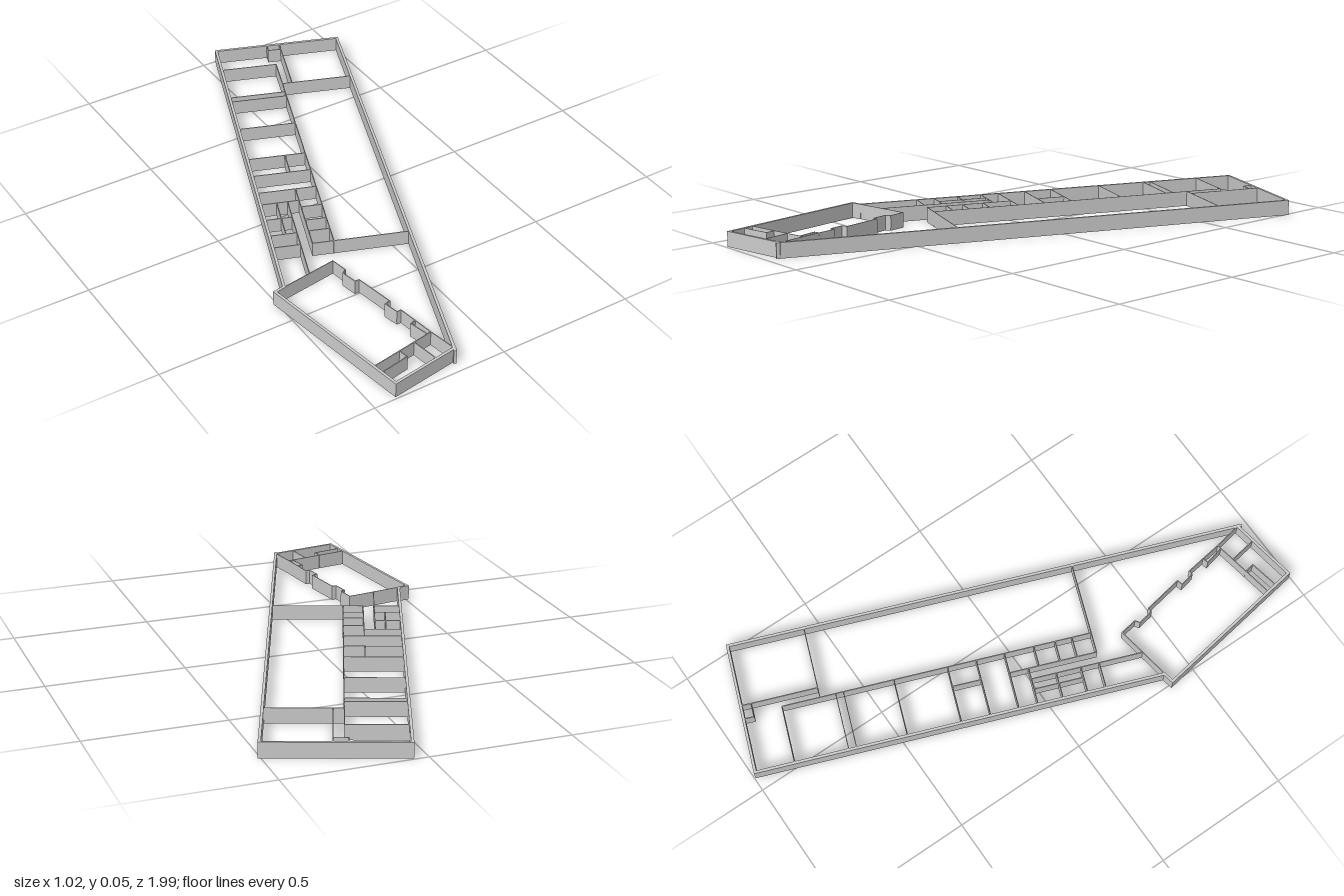
import * as THREE from 'three';

const HEIGHT = 0.055, OUTER = 0.01, INNER = 0.003;
const material = new THREE.MeshStandardMaterial({ color: 0xcccccc, flatShading: true });

// Upright wall between two plan points [x, z]
function wall(parent, name, a, b, thickness) {
  const dx = b[0] - a[0], dz = b[1] - a[1];
  const geometry = new THREE.BoxGeometry(Math.hypot(dx, dz) + thickness, HEIGHT, thickness);
  const mesh = new THREE.Mesh(geometry, material);
  mesh.name = name;
  mesh.position.set((a[0] + b[0]) / 2, HEIGHT / 2, (a[1] + b[1]) / 2);
  mesh.rotation.y = -Math.atan2(dz, dx);
  parent.add(mesh);
}

// Chain of walls through a list of plan points
function wallRun(parent, name, points, thickness = INNER) {
  for (let i = 1; i < points.length; i++) wall(parent, name, points[i - 1], points[i], thickness);
}

export function createModel() {
  const model = new THREE.Group();
  model.name = 'floorPlanWalls';

  // Long wing, laid out straight and then turned: x across, z along
  const wing = new THREE.Group();
  wing.name = 'longWing';
  wing.position.set(0.053, 0, -0.99);
  wing.rotation.y = -0.36;
  model.add(wing);
  const W = 0.481, CORRIDOR = 0.213;
  wallRun(wing, 'wingOuterWall', [[0, 1.475], [0, 0], [W, 0], [W, 1.9]], OUTER);

  // Walls along the wing: [x, start z, end z]
  for (const [x, z0, z1] of [
    [CORRIDOR, 0.14, 1.268], [0.25, 0, 0.277], [0.138, 0.742, 0.845],
    [0.138, 0.948, 1.264], [0.097, 1.017, 1.424], [0.058, 1.017, 1.195],
  ]) wall(wing, 'lengthwiseWall', [x, z0], [x, z1], INNER);

  // Walls across the wing: [z, start x, end x]
  for (const [z, x0, x1] of [
    [0.14, 0, CORRIDOR], [0.277, CORRIDOR, W],
    ...[0.334, 0.362, 0.545, 0.74, 0.845, 0.948].map((s) => [s, 0, CORRIDOR]),
    [1.017, 0, 0.135], [1.108, 0, 0.097], [1.198, 0, 0.097],
    [1.265, 0, 0.097], [1.267, 0.138, W],
    ...[1.056, 1.134, 1.196].map((s) => [s, 0.138, CORRIDOR]),
  ]) wall(wing, 'crossWall', [x0, z], [x1, z], INNER);

  // Small closet by the end wall
  wallRun(wing, 'closetWall', [[0.2, 0], [0.2, 0.037], [0.25, 0.037]]);

  // Angled annex at the front end
  const annex = new THREE.Group();
  annex.name = 'annex';
  model.add(annex);
  wallRun(annex, 'annexOuterWall',
    [[-0.468, 0.393], [-0.506, 0.4], [-0.413, 0.987], [-0.163, 0.948]], OUTER);
  wallRun(annex, 'annexBackWall', [[-0.47, 0.395], [-0.256, 0.362]]);
  // Stepped wall with niches
  wallRun(annex, 'steppedWall', [
    [-0.256, 0.362], [-0.246, 0.425], [-0.262, 0.436], [-0.251, 0.494], [-0.235, 0.494],
    [-0.209, 0.642], [-0.23, 0.647], [-0.219, 0.7], [-0.203, 0.7], [-0.193, 0.769],
    [-0.214, 0.774], [-0.198, 0.845],
  ]);
  wallRun(annex, 'sideWall', [[-0.193, 0.769], [-0.182, 0.843], [-0.163, 0.948]]);
  // Front rooms
  wallRun(annex, 'roomWall', [[-0.431, 0.885], [-0.182, 0.843]]);
  wallRun(annex, 'roomDivider', [[-0.256, 0.857], [-0.24, 0.956]]);
  wallRun(annex, 'nookWall', [[-0.422, 0.922], [-0.314, 0.902], [-0.32, 0.866]]);
  return model;
}
